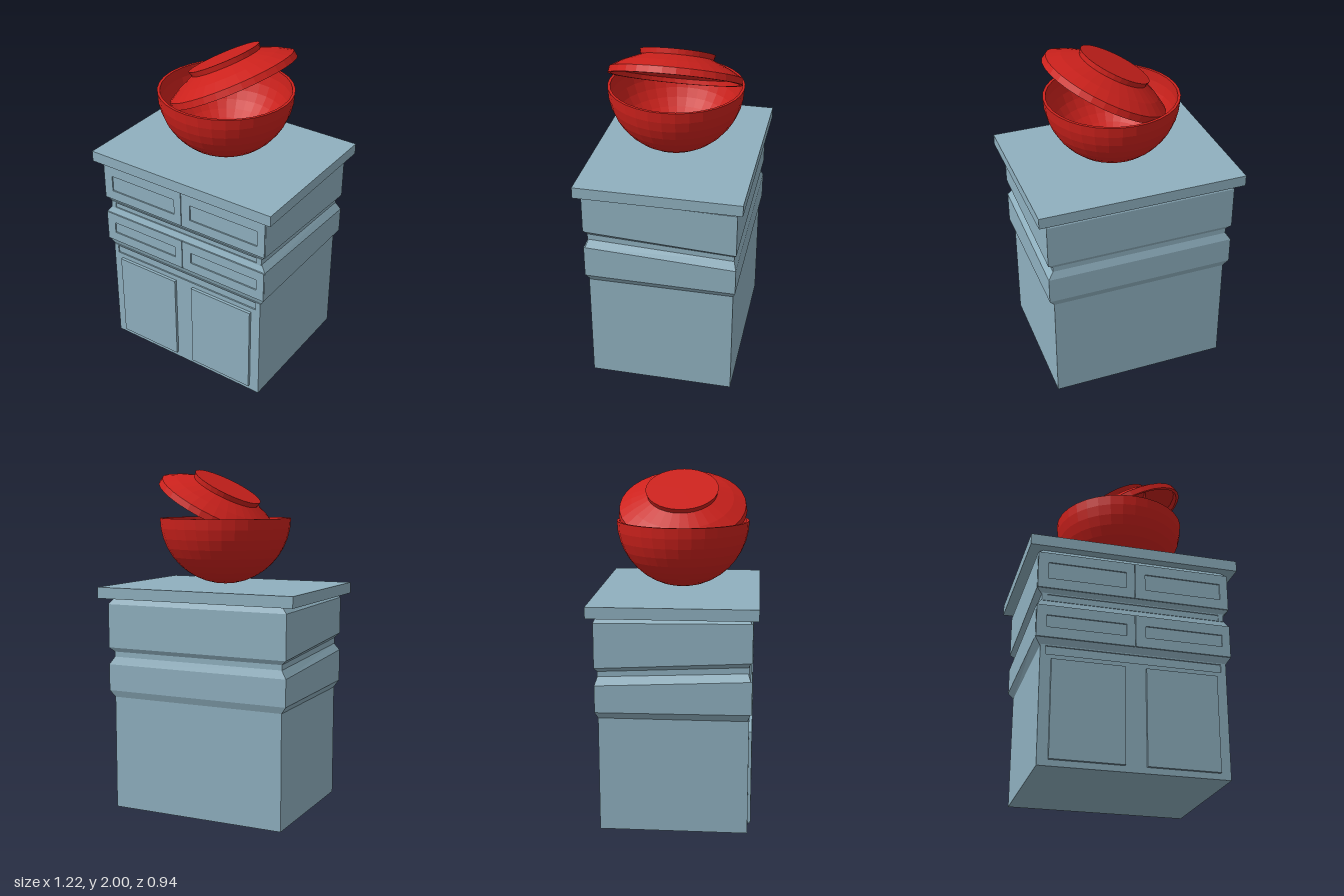
import * as THREE from 'three';

const blue = new THREE.MeshStandardMaterial({ color: 0x8fb0bf, flatShading: true });
const red = new THREE.MeshStandardMaterial({ color: 0xcc211c, flatShading: true, side: THREE.DoubleSide });

function add(group, name, geometry, material, x = 0, y = 0, z = 0) {
  const mesh = new THREE.Mesh(geometry, material);
  mesh.name = name;
  mesh.position.set(x, y, z);
  group.add(mesh);
  return mesh;
}

// Adds a rectangle, as a shape outline or a hole
function rect(path, x0, y0, x1, y1) {
  path.moveTo(x0, y0).lineTo(x1, y0).lineTo(x1, y1).lineTo(x0, y1).closePath();
  return path;
}

// Plate with one rectangular opening, making a shallow recess
function framedPlate(outer, hole, depth) {
  const shape = rect(new THREE.Shape(), ...outer);
  shape.holes.push(rect(new THREE.Path(), ...hole));
  return new THREE.ExtrudeGeometry(shape, { depth, bevelEnabled: false });
}

// Stacked rectangular rings: [half width, front z, back z, front y, back y]
function ringStack(rings) {
  const pos = [], idx = [];
  for (const [w, f, b, yf, yb] of rings) pos.push(-w, yf, f, w, yf, f, w, yb, b, -w, yb, b);
  for (let i = 0; i < rings.length - 1; i++) {
    for (let j = 0; j < 4; j++) {
      const a = i * 4 + j, c = i * 4 + (j + 1) % 4;
      idx.push(a, c, c + 4, a, c + 4, a + 4);
    }
  }
  const t = (rings.length - 1) * 4;
  idx.push(0, 3, 2, 0, 2, 1, t, t + 1, t + 2, t, t + 2, t + 3);
  const g = new THREE.BufferGeometry();
  g.setAttribute('position', new THREE.Float32BufferAttribute(pos, 3));
  g.setIndex(idx);
  const flat = g.toNonIndexed();
  flat.computeVertexNormals();
  return flat;
}

function lathe(points, segments) {
  return new THREE.LatheGeometry(points.map(([r, y]) => new THREE.Vector2(r, y)), segments);
}

function createCabinet() {
  const cabinet = new THREE.Group();
  cabinet.name = 'cabinet';

  // Body with two bevelled bands that slope down to the back
  add(cabinet, 'cabinetBody', ringStack([
    [0.53, 0.415, -0.42, 0, 0],
    [0.53, 0.415, -0.42, 0.67, 0.67],
    [0.56, 0.43, -0.435, 0.715, 0.71],
    [0.56, 0.43, -0.435, 0.905, 0.865],
    [0.53, 0.415, -0.42, 0.945, 0.91],
    [0.53, 0.415, -0.42, 0.98, 0.94],
    [0.56, 0.43, -0.435, 1.01, 0.965],
    [0.56, 0.43, -0.435, 1.23, 1.22],
    [0.53, 0.415, -0.42, 1.255, 1.255],
  ]), blue);

  // Shallow slots under each drawer row
  add(cabinet, 'lowerFrontFrame',
    framedPlate([-0.53, 0, 0.53, 0.675], [-0.5, 0.62, 0.5, 0.668], 0.008), blue, 0, 0, 0.415);
  add(cabinet, 'upperSlot',
    framedPlate([-0.53, 0.94, 0.53, 0.985], [-0.5, 0.947, 0.5, 0.978], 0.006), blue, 0, 0, 0.415);

  // Drawer fronts with recessed panels and the doors below
  for (const side of [-1, 1]) {
    for (const [y0, y1] of [[0.715, 0.905], [1.012, 1.23]]) {
      const geometry = framedPlate([-0.278, y0, 0.278, y1], [-0.22, y0 + 0.06, 0.23, y1 - 0.06], 0.01);
      add(cabinet, 'drawerFront', geometry, blue, side * 0.28, 0, 0.428);
    }
    add(cabinet, 'door', new THREE.BoxGeometry(0.41, 0.555, 0.025), blue, side * 0.265, 0.3125, 0.4275);
  }

  add(cabinet, 'countertop', new THREE.BoxGeometry(1.22, 0.065, 0.94), blue, 0, 1.2875, 0);
  return cabinet;
}

export function createModel() {
  const model = new THREE.Group();
  model.name = 'cabinetWithBowl';
  model.add(createCabinet());

  // Hemispherical bowl, outer wall up and inner wall down
  const bowlProfile = [];
  const steps = 10;
  for (let i = 0; i <= steps; i++) {
    const a = (i / steps) * Math.PI / 2;
    bowlProfile.push([0.388 * Math.sin(a), -0.388 * Math.cos(a)]);
  }
  for (let i = steps; i >= 0; i--) {
    const a = (i / steps) * Math.PI / 2;
    bowlProfile.push([0.372 * Math.sin(a), -0.372 * Math.cos(a)]);
  }
  add(model, 'bowl', lathe(bowlProfile, 32), red, 0.02, 1.715, 0.015);

  // Lid leaning in the bowl, with a raised round foot
  const lid = add(model, 'lid', lathe([
    [0, -0.018], [0.2, -0.018], [0.2, -0.035], [0.29, -0.083], [0.355, -0.122], [0.36, -0.15],
    [0.378, -0.15], [0.372, -0.112], [0.3, -0.07], [0.205, -0.03], [0.212, 0], [0, 0],
  ], 32), red, 0, 1.898, 0.01);
  lid.rotation.z = THREE.MathUtils.degToRad(28);

  return model;
}
